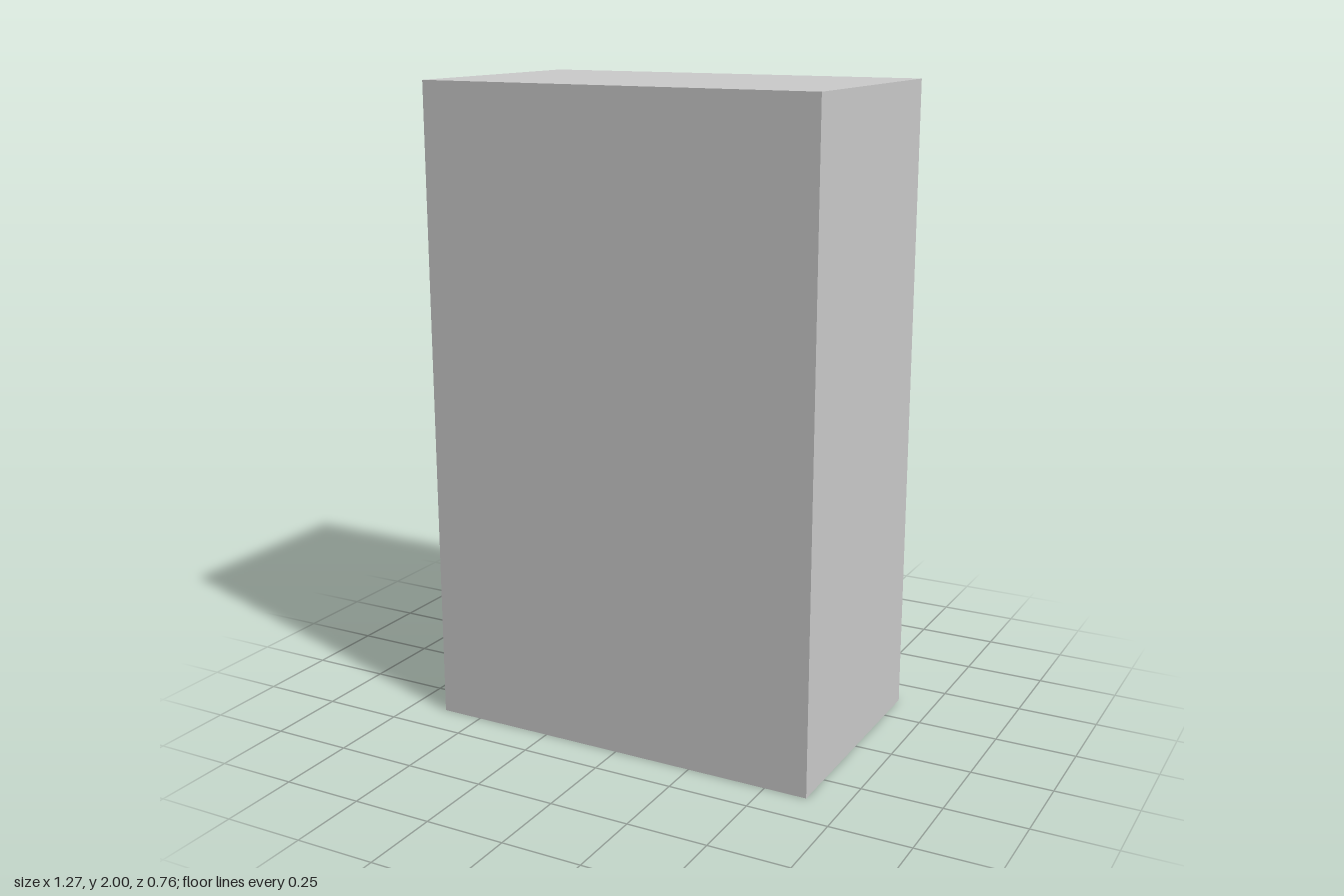
import * as THREE from 'three';

// Cabinet proportions: 79 high, 50 wide, 30 deep, boards 2 thick
const U = 2 / 79;
const H = 79 * U, W = 50 * U, D = 30 * U, T = 2 * U;

// Traces a rectangle on a Shape or Path
function rect(path, x, y, w, h) {
  path.moveTo(x, y);
  path.lineTo(x + w, y);
  path.lineTo(x + w, y + h);
  path.lineTo(x, y + h);
  path.closePath();
  return path;
}

export function createModel() {
  const group = new THREE.Group();
  group.name = 'cabinet';
  const material = new THREE.MeshStandardMaterial({ color: 0xcccccc });

  // Carcass: sides, top, bottom and middle shelf around two equal bays, open at the back
  const outline = rect(new THREE.Shape(), -W / 2, 0, W, H);
  const bayHeight = (H - 3 * T) / 2;
  for (let i = 0; i < 2; i++) {
    outline.holes.push(rect(new THREE.Path(), -W / 2 + T, T + i * (bayHeight + T), W - 2 * T, bayHeight));
  }
  const carcass = new THREE.Mesh(
    new THREE.ExtrudeGeometry(outline, { depth: D - T, bevelEnabled: false }),
    material
  );
  carcass.name = 'carcassWithShelf';
  carcass.position.z = -D / 2;
  group.add(carcass);

  // Solid panel closing the front
  const panel = new THREE.Mesh(new THREE.BoxGeometry(W, H, T), material);
  panel.name = 'frontPanel';
  panel.position.set(0, H / 2, D / 2 - T / 2);
  group.add(panel);

  return group;
}
